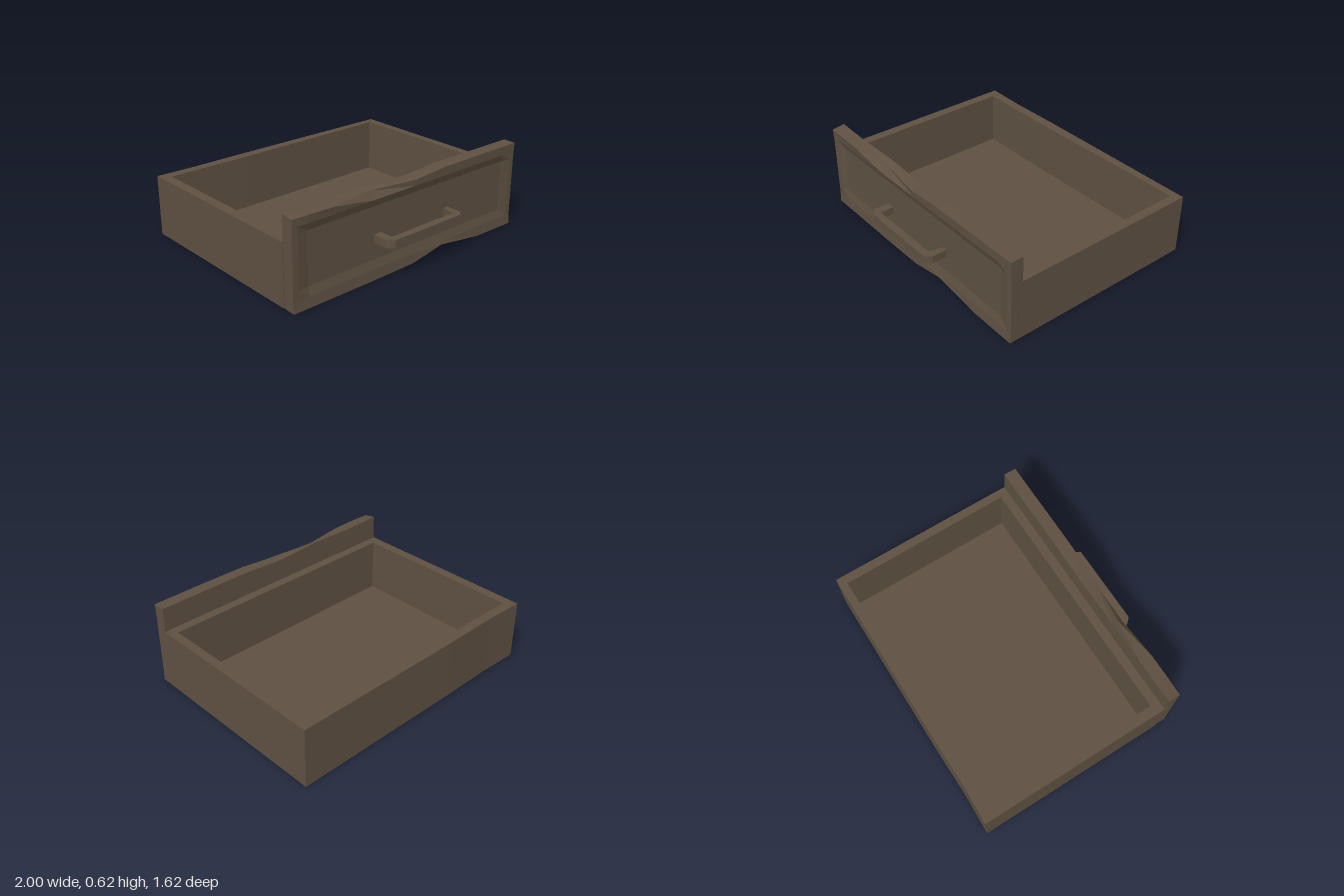
import * as THREE from 'three';

// Flat-shaded skin over equal-length [z, y] sections placed along x
function loft(stations) {
  const pos = [];
  const n = stations[0].ring.length;
  const put = (s, j) => pos.push(s.x, s.ring[j % n][1], s.ring[j % n][0]);
  for (let i = 0; i < stations.length - 1; i++) {
    const a = stations[i], b = stations[i + 1];
    for (let j = 0; j < n; j++) {
      put(a, j); put(a, j + 1); put(b, j + 1);
      put(a, j); put(b, j + 1); put(b, j);
    }
  }
  const first = stations[0], last = stations[stations.length - 1];
  for (let j = 1; j < n - 1; j++) {
    put(last, 0); put(last, j); put(last, j + 1);
    put(first, 0); put(first, j + 1); put(first, j);
  }
  const geo = new THREE.BufferGeometry();
  geo.setAttribute('position', new THREE.Float32BufferAttribute(pos, 3));
  geo.computeVertexNormals();
  return geo;
}

// Upright prism from an [x, z] outline, with an optional hole
function prism(outline, y0, y1, hole) {
  const points = (list) => list.map(([x, z]) => new THREE.Vector2(x, -z));
  const shape = new THREE.Shape(points(outline));
  if (hole) shape.holes.push(new THREE.Path(points(hole)));
  const geo = new THREE.ExtrudeGeometry(shape, { depth: y1 - y0, bevelEnabled: false });
  return geo.rotateX(-Math.PI / 2).translate(0, y0, 0);
}

export function createModel() {
  const drawer = new THREE.Group();
  drawer.name = 'drawer';
  const wood = new THREE.MeshStandardMaterial({ color: 0x5f5142, flatShading: true });
  wood.name = 'dark wood';

  const add = (name, geo) => {
    const mesh = new THREE.Mesh(geo, wood);
    mesh.name = name;
    drawer.add(mesh);
  };

  // Four walls around the open tray, with a slightly uneven back
  const outer = [[-1, 0.59], [0.99, 0.59], [0.995, -0.805], [-0.3, -0.81], [-0.7, -0.805], [-1, -0.815]];
  const inner = [[-0.93, 0.52], [0.93, 0.52], [0.93, -0.75], [0.4, -0.745], [-0.3, -0.735], [-0.93, -0.74]];
  add('walls', prism(outer, 0.005, 0.44, inner));

  // Tray bottom
  add('floor', prism(inner, 0.005, 0.045));

  // Worn front board: x, top height, front top z, front top y, front bottom y, recess amount
  const board = [
    [-0.995, 0.62, 0.675, 0.605, 0, 0],
    [-0.95, 0.62, 0.675, 0.605, 0, 0],
    [-0.87, 0.615, 0.678, 0.605, 0, 1],
    [-0.68, 0.612, 0.68, 0.6, 0, 1],
    [-0.36, 0.618, 0.632, 0.6, 0, 1],
    [0, 0.6, 0.675, 0.592, 0.005, 1],
    [0.27, 0.617, 0.677, 0.612, 0.055, 1],
    [0.64, 0.618, 0.677, 0.615, 0.005, 1],
    [0.87, 0.618, 0.677, 0.615, 0.003, 1],
    [0.95, 0.618, 0.677, 0.615, 0.002, 0],
    [0.987, 0.618, 0.677, 0.615, 0.002, 0],
  ];
  add('frontBoard', loft(board.map(([x, top, z, frontTop, bottom, recess]) => ({
    x,
    ring: [
      [0.585, 0.003], [0.585, top], [z, frontTop],
      [0.674, 0.55], [0.672 - 0.014 * recess, 0.5],
      [0.672 - 0.014 * recess, 0.135], [0.672, 0.075], [0.678, bottom],
    ],
  }))));

  // Bent bar handle with chamfered corners
  add('handle', prism([
    [-0.34, 0.65], [-0.34, 0.765], [-0.3, 0.808], [0.3, 0.808], [0.33, 0.765], [0.33, 0.65],
    [0.295, 0.65], [0.275, 0.755], [-0.28, 0.755], [-0.28, 0.65],
  ], 0.255, 0.31));

  return drawer;
}
